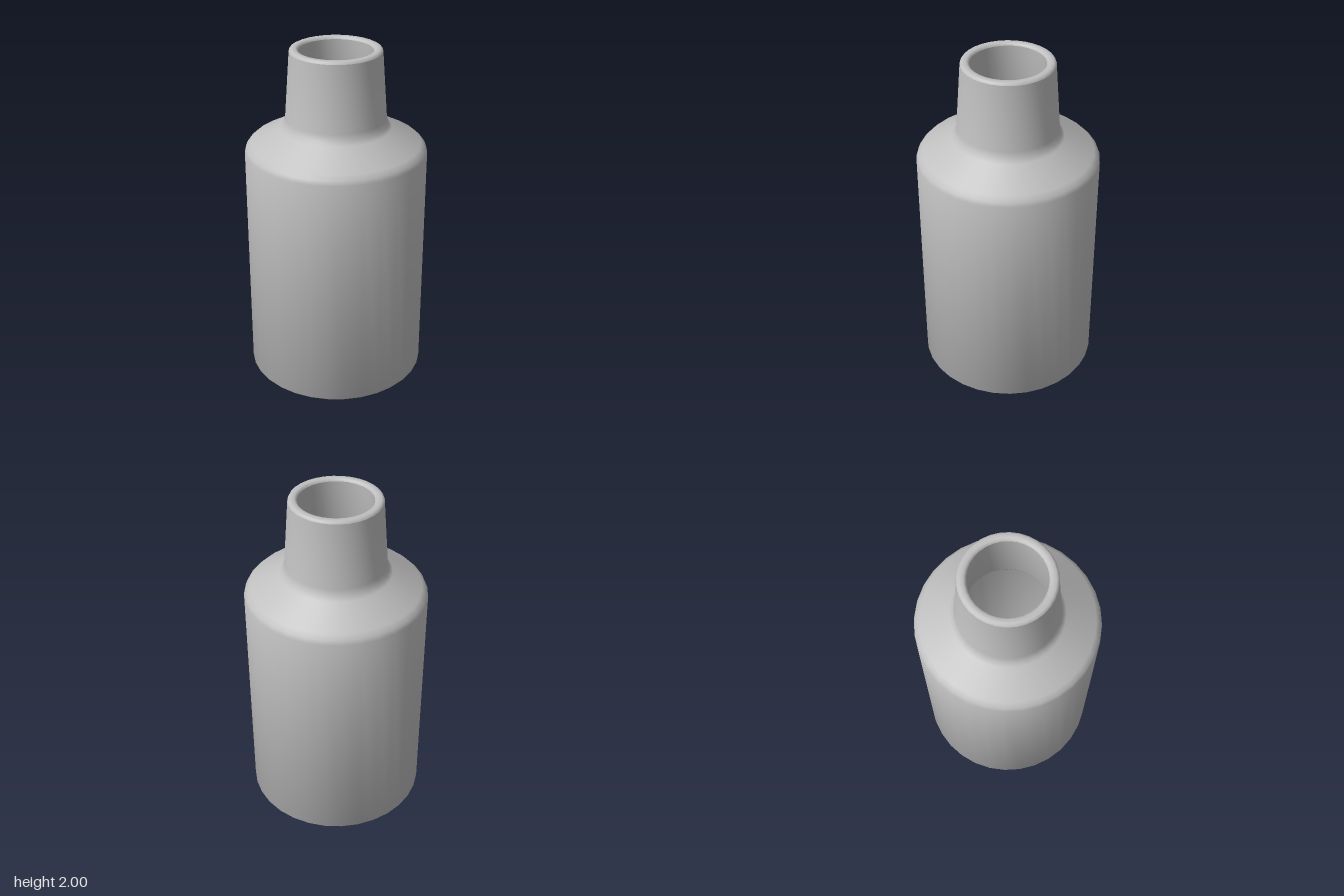
import * as THREE from 'three';
import { toCreasedNormals } from 'three/addons/utils/BufferGeometryUtils.js';

const SEGMENTS = 32;

// Revolve a [radius, height] profile, listed so that its outside faces out
function revolve(name, profile, material) {
  const points = profile.map(([r, y]) => new THREE.Vector2(r, y));
  const lathe = new THREE.LatheGeometry(points, SEGMENTS);
  const mesh = new THREE.Mesh(toCreasedNormals(lathe, 0.9), material);
  mesh.name = name;
  return mesh;
}

export function createModel() {
  const group = new THREE.Group();
  group.name = 'bottle';
  const grey = new THREE.MeshStandardMaterial({ color: 0xc0c0c0 });
  grey.name = 'plain grey';

  // Outer shell: base, straight body, rounded shoulder, tapered neck
  group.add(revolve('outerShell', [
    [0, 0], [0.515, 0], [0.525, 0.012],
    [0.525, 1.4], [0.515, 1.425], [0.49, 1.45],
    [0.32, 1.54], [0.3, 1.56], [0.29, 1.6],
    [0.262, 1.985],
  ], grey));

  // Rounded lip
  group.add(revolve('lip', [
    [0.262, 1.985], [0.257, 1.995], [0.247, 2],
    [0.225, 2], [0.215, 1.995], [0.21, 1.985],
  ], grey));

  // Hollow inside, running from the lip down to the inner floor
  group.add(revolve('innerWall', [
    [0.21, 1.985], [0.24, 1.58], [0.27, 1.51],
    [0.455, 1.41], [0.475, 1.38], [0.475, 0.05], [0, 0.05],
  ], grey));

  return group;
}
